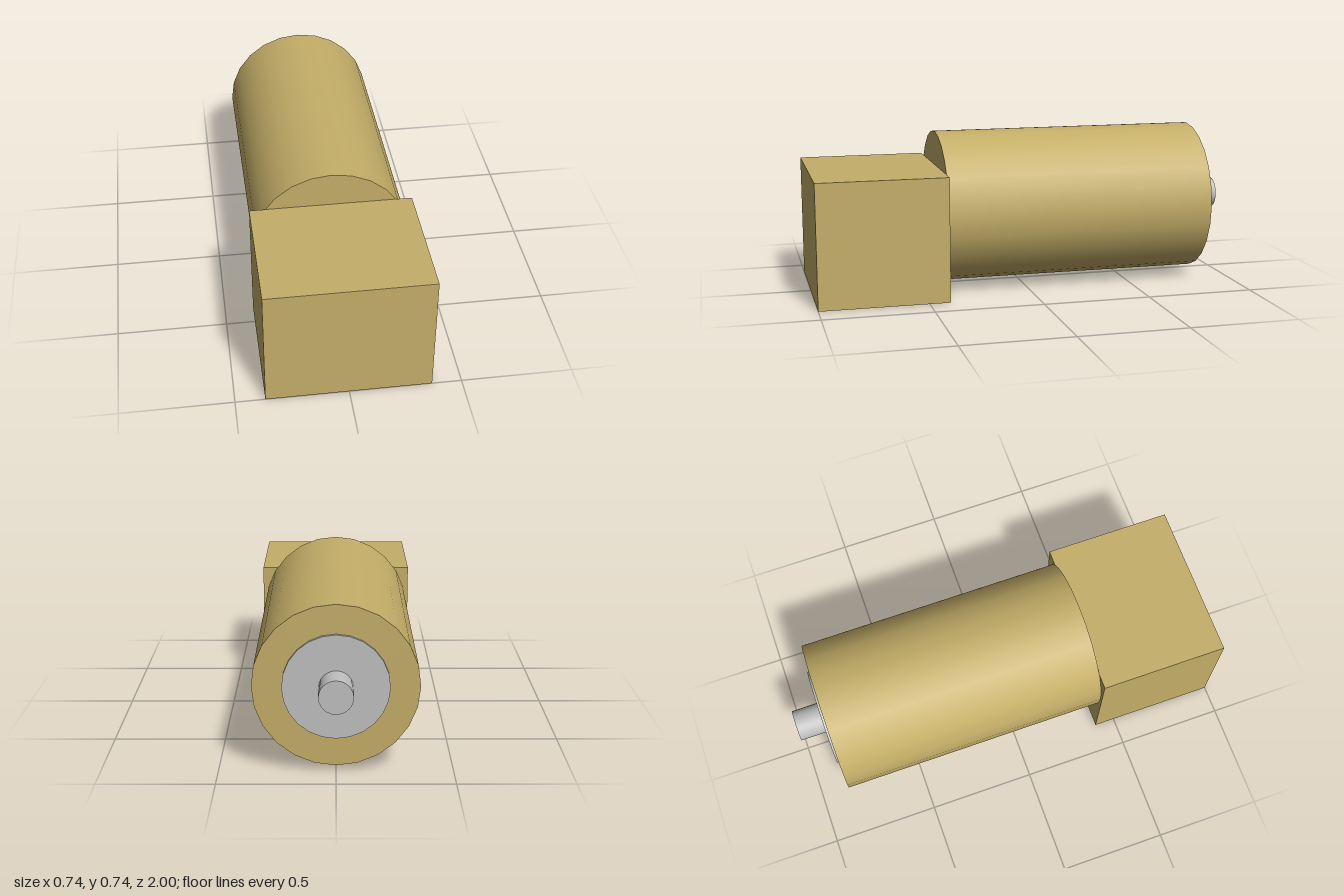
import * as THREE from 'three';

const brass = new THREE.MeshStandardMaterial({ name: 'brass', color: 0xc4ae68 });
const steel = new THREE.MeshStandardMaterial({ name: 'steel', color: 0xc0c0c0 });

const AXIS_Y = 0.38;

// Cylinder lying along z between two depths
function barrel(name, radius, zFront, zBack, material) {
  const geometry = new THREE.CylinderGeometry(radius, radius, zFront - zBack, 24);
  geometry.rotateX(Math.PI / 2);
  const mesh = new THREE.Mesh(geometry, material);
  mesh.name = name;
  mesh.position.set(0, AXIS_Y, (zFront + zBack) / 2);
  return mesh;
}

export function createModel() {
  const model = new THREE.Group();
  model.name = 'motor';

  // Square block at the front
  const block = new THREE.Mesh(new THREE.BoxGeometry(0.736, 0.575, 0.597), brass);
  block.name = 'frontBlock';
  block.position.set(0, 0.2875, 0.7015);
  model.add(block);

  // Round body, end plate and output shaft
  model.add(
    barrel('body', 0.355, 0.403, -0.859, brass),
    barrel('endPlate', 0.228, -0.859, -0.873, steel),
    barrel('shaft', 0.073, -0.873, -1, steel)
  );
  return model;
}
